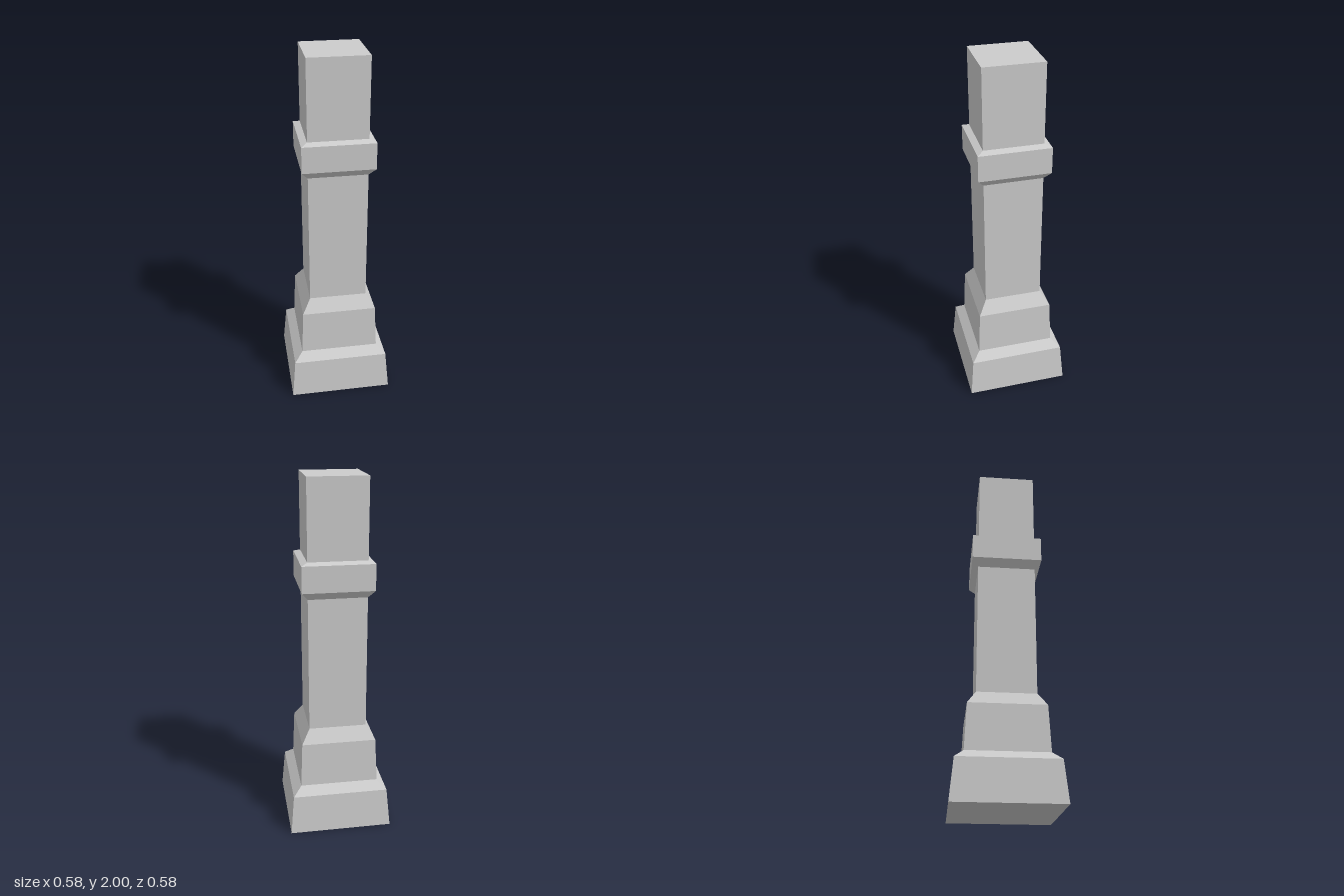
import * as THREE from 'three';

// Square tier from [half width, height] points, listed bottom to top
function squareTier(name, profile) {
  const points = profile.map(([half, y]) => new THREE.Vector2(half * Math.SQRT2, y));
  const geometry = new THREE.LatheGeometry(points, 4, Math.PI / 4).toNonIndexed();
  geometry.computeVertexNormals();
  const material = new THREE.MeshStandardMaterial({ color: 0xcccccc, flatShading: true });
  const mesh = new THREE.Mesh(geometry, material);
  mesh.name = name;
  return mesh;
}

export function createModel() {
  const group = new THREE.Group();
  group.name = 'squarePillar';
  const shaft = 0.163;

  group.add(
    // Tapered foot with closed underside and sloped shoulder
    squareTier('plinth', [[0, 0], [0.291, 0], [0.271, 0.225], [0.222, 0.27]]),
    // Narrower block sloping in to the shaft
    squareTier('pedestal', [[0.222, 0.27], [0.211, 0.525], [shaft, 0.602]]),
    squareTier('lowerShaft', [[shaft, 0.602], [shaft, 1.363]]),
    // Band with a bevel below and a shallow slope on top
    squareTier('collar', [[shaft, 1.363], [0.198, 1.406], [0.198, 1.552], [shaft, 1.565]]),
    // Top of the shaft with its flat cap
    squareTier('upperShaft', [[shaft, 1.565], [shaft, 2], [0, 2]]),
  );
  return group;
}
